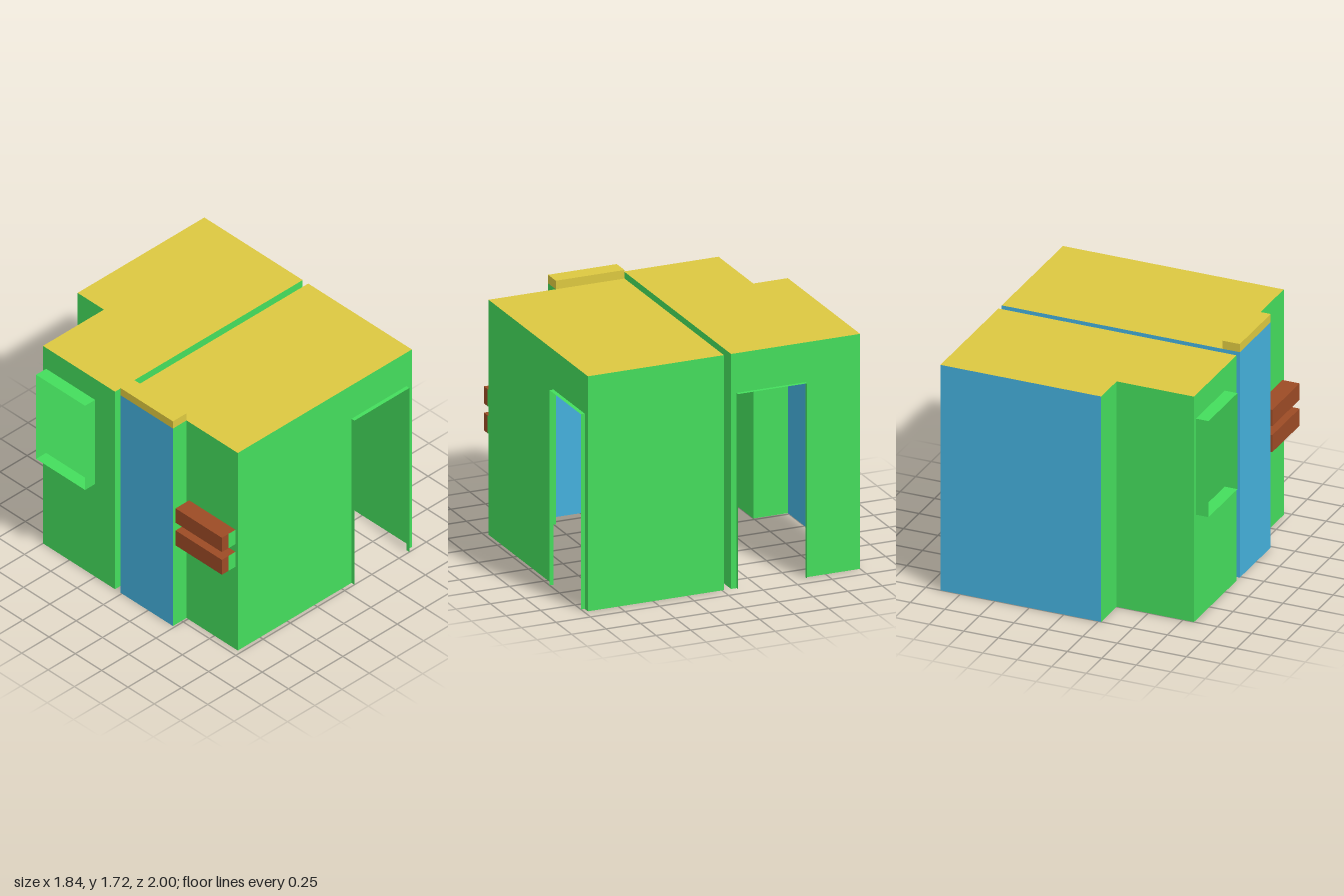
import * as THREE from 'three';

const mat = (color) => new THREE.MeshStandardMaterial({ color, side: THREE.DoubleSide });

export function createModel() {
  const model = new THREE.Group();
  const green = mat(0x44dd5c), blue = mat(0x44b0dc), yellow = mat(0xdcc840), brown = mat(0x9c4b25);
  const H = 1.655;

  const add = (name, geometry, material, parent = model) => {
    const mesh = new THREE.Mesh(geometry, material);
    mesh.name = name;
    parent.add(mesh);
    return mesh;
  };

  // Upright wall between plan points [x, z]; holes are [u0, u1, y0, y1] measured along it,
  // and a hole starting at y = 0 is a doorway notch.
  function wall(name, a, b, material = green, holes = []) {
    const dx = b[0] - a[0], dz = b[1] - a[1], len = Math.hypot(dx, dz);
    const outline = [[0, 0]];
    for (const [u0, u1, y0, y1] of holes) if (y0 === 0) outline.push([u0, 0], [u0, y1], [u1, y1], [u1, 0]);
    outline.push([len, 0], [len, H], [0, H]);
    const shape = new THREE.Shape(outline.map((p) => new THREE.Vector2(...p)));
    for (const [u0, u1, y0, y1] of holes) {
      if (y0 === 0) continue;
      const corners = [[u0, y0], [u0, y1], [u1, y1], [u1, y0]];
      shape.holes.push(new THREE.Path(corners.map((p) => new THREE.Vector2(...p))));
    }
    const mesh = add(name, new THREE.ShapeGeometry(shape), material);
    mesh.position.set(a[0], 0, a[1]);
    mesh.rotation.y = -Math.atan2(dz, dx);
  }

  // Flat horizontal sheet from a plan outline [x, z]
  function sheet(name, plan, y, material) {
    const shape = new THREE.Shape(plan.map(([x, z]) => new THREE.Vector2(x, -z)));
    const geometry = new THREE.ShapeGeometry(shape).rotateX(-Math.PI / 2).translate(0, y, 0);
    add(name, geometry, material);
  }

  // Strip of flat faces swept from a line of 3D points along an offset
  function sleeve(name, points, offset, material) {
    const pos = [];
    for (let i = 0; i + 1 < points.length; i++) {
      const a = points[i], b = points[i + 1];
      const c = b.map((v, k) => v + offset[k]), d = a.map((v, k) => v + offset[k]);
      pos.push(...a, ...b, ...c, ...a, ...c, ...d);
    }
    const geometry = new THREE.BufferGeometry();
    geometry.setAttribute('position', new THREE.Float32BufferAttribute(pos, 3));
    geometry.computeVertexNormals();
    add(name, geometry, material);
  }

  const R = 0.895, L = -0.83, W = -0.705;
  const F = 0.972, M = -0.013, C = 0.485;
  const doorTop = 1.375;

  // Front room, with an alcove on its left-hand plan side
  const niches = [[0.69, 0.815], [0.88, 1.0]];
  const n0 = 0.51, n1 = 0.95;
  wall('frontRoomFrontWall', [W, F], [R, F], green, [[0.34 - W, 0.845 - W, 0, doorTop]]);
  wall('frontRoomSideWall', [R, F], [R, M]);
  wall('frontRoomBackWall', [L, M], [R, M], blue);
  wall('frontRoomNicheWall', [W, C], [W, F], green, niches.map(([y0, y1]) => [n0 - C, n1 - C, y0, y1]));
  wall('alcoveFrontWall', [L, C], [W, C]);
  wall('alcoveSideWall', [L, M], [L, C], blue);
  sheet('frontRoof', [[W, M], [R, M], [R, F], [W, F]], H, yellow);

  // Raised alcove cap
  const cap = [[L, M], [W, M], [W, C], [L, C]];
  sheet('alcoveCapTop', cap, 1.715, yellow);
  sleeve('alcoveCapRim', [...cap, cap[0]].map(([x, z]) => [x, H, z]), [0, 0.06, 0], yellow);

  // Shelf niches that open into the front room
  for (const [y0, y1] of niches) {
    const mid = -0.77;
    sleeve('nicheShell', [[W, y0, n0], [L, y0, n0], [L, y1, n0], [W, y1, n0]], [0, 0, n1 - n0], brown);
    for (const z of [n0, n1]) {
      sleeve('nicheEnd', [[L, y0, z], [mid, y0, z]], [0, y1 - y0, 0], brown);
      sleeve('nicheJamb', [[mid, y0, z], [W, y0, z]], [0, y1 - y0, 0], green);
    }
  }

  // Back room with a stepped corner
  const K = -0.065, B = -1, S = -0.75, X = -0.27;
  const d0 = -0.105, d1 = -0.605, w0 = -0.255, w1 = -0.72;
  wall('backRoomFrontWall', [L, K], [R, K]);
  wall('backRoomDoorWall', [R, K], [R, B], green, [[K - d0, K - d1, 0, doorTop]]);
  wall('backRoomBackWall', [X, B], [R, B], blue);
  wall('stepSideWall', [X, B], [X, S]);
  wall('stepBackWall', [L, S], [X, S]);
  wall('backRoomWindowWall', [L, K], [L, S], green, [[K - w0, K - w1, 0.775, 1.48]]);
  sheet('backRoof', [[L, K], [R, K], [R, B], [X, B], [X, S], [L, S]], H, yellow);

  // Door and window surrounds
  sleeve('frontDoorFrame', [[0.34, 0, F], [0.34, doorTop, F], [0.845, doorTop, F], [0.845, 0, F]],
    [0, 0, 1 - F], green);
  sleeve('sideDoorFrame', [[R, 0, d0], [R, doorTop, d0], [R, doorTop, d1], [R, 0, d1]],
    [0.025, 0, 0], green);
  sleeve('windowFrame', [[L, 0.775, w0], [L, 1.48, w0], [L, 1.48, w1], [L, 0.775, w1], [L, 0.775, w0]],
    [-0.092, 0, 0], green);

  return model;
}
